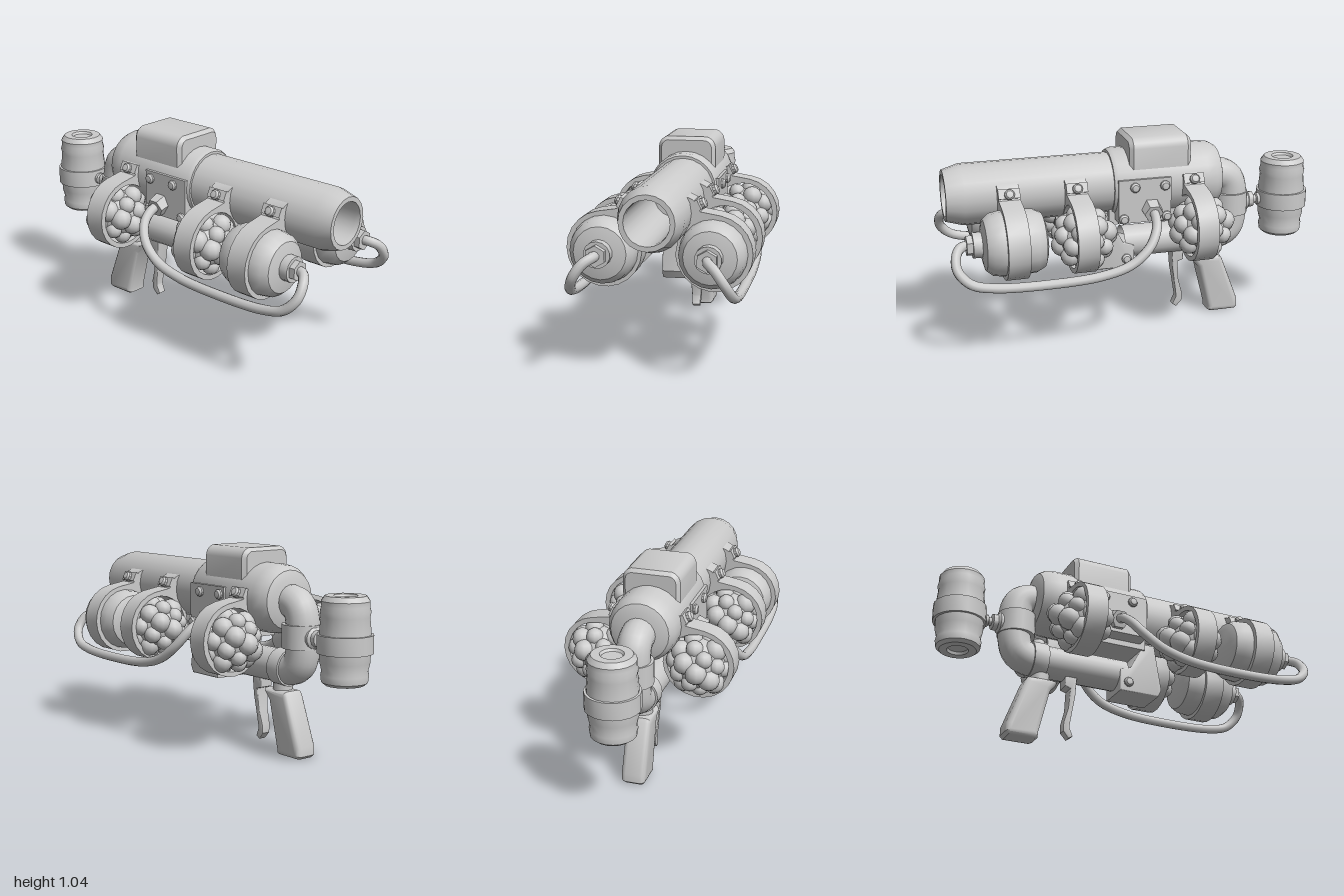
import * as THREE from 'three';
import { mergeGeometries, toCreasedNormals } from 'three/addons/utils/BufferGeometryUtils.js';

const V = (x, y, z) => new THREE.Vector3(x, y, z);

export function createModel() {
  const model = new THREE.Group();
  const mat = new THREE.MeshStandardMaterial({ color: 0xcccccc, side: THREE.DoubleSide });

  const add = (name, geo, x = 0, y = 0, z = 0) => {
    const mesh = new THREE.Mesh(geo, mat);
    mesh.name = name;
    mesh.position.set(x, y, z);
    model.add(mesh);
    return mesh;
  };
  const crease = geo => toCreasedNormals(geo, 0.6);
  // Turned part: [radius, height] pairs
  const lathe = (pts, seg) =>
    crease(new THREE.LatheGeometry(pts.map(p => new THREE.Vector2(p[0], p[1])), seg));
  const latheZ = (pts, seg) => lathe(pts, seg).rotateX(Math.PI / 2);
  // Side profile given as [z, y], extruded across x
  const profile = (pts, width, bevel) => {
    const shape = new THREE.Shape(pts.map(p => new THREE.Vector2(p[0], p[1])));
    const geo = new THREE.ExtrudeGeometry(shape, {
      depth: width - 2 * bevel, bevelSize: bevel, bevelThickness: bevel, bevelOffset: -bevel, bevelSegments: 3,
    });
    return crease(geo.translate(0, 0, bevel - width / 2).rotateY(-Math.PI / 2));
  };
  const tube = (pts, r, n, seg) =>
    new THREE.TubeGeometry(new THREE.CatmullRomCurve3(pts, false, 'centripetal'), n, r, seg);
  // Cylinder lying along z
  const rod = (r, len, seg) => crease(new THREE.CylinderGeometry(r, r, len, seg).rotateX(Math.PI / 2));
  // Round-headed bolt pointing along dir
  const bolt = (name, pos, dir) => {
    const r = 0.026;
    const m = add(name, lathe([[0, -0.02], [r, -0.02], [r, 0.007], [r * 0.7, 0.017], [0, 0.02]], 10));
    m.position.copy(pos);
    m.quaternion.setFromUnitVectors(V(0, 1, 0), dir.normalize());
  };

  // Barrel with open bore
  add('barrel', latheZ([[0, 0.05], [0.158, 0.05], [0.158, 0.89], [0.132, 0.98], [0.108, 0.98],
    [0.105, 0.95], [0.105, 0.35], [0, 0.35]], 20), 0, 0.785);
  // Main housing behind it
  add('housing', latheZ([[0, -0.48], [0.11, -0.48], [0.15, -0.465], [0.172, -0.43], [0.178, -0.38],
    [0.178, 0.105], [0.168, 0.125], [0, 0.125]], 24), 0, 0.788);
  add('housingUnderside', new THREE.BoxGeometry(0.2, 0.1, 0.4), 0, 0.63, -0.06);

  // Top box with rounded upper edges
  const top = new THREE.Shape();
  top.moveTo(-0.15, 0.85).lineTo(0.15, 0.85).lineTo(0.15, 0.99).quadraticCurveTo(0.145, 1.03, 0.105, 1.042)
    .lineTo(-0.105, 1.042).quadraticCurveTo(-0.145, 1.03, -0.15, 0.99);
  const topGeo = new THREE.ExtrudeGeometry(top, {
    depth: 0.29, bevelSize: 0.018, bevelThickness: 0.02, bevelOffset: -0.018, bevelSegments: 1, curveSegments: 5,
  });
  add('topBox', crease(topGeo), 0, 0, -0.27);

  // Rear pipe turning down and forward
  add('rearPipe', tube([V(0, 0.78, -0.42), V(0, 0.78, -0.5), V(0, 0.755, -0.542), V(0, 0.7, -0.563),
    V(0, 0.53, -0.563), V(0, 0.475, -0.542), V(0, 0.447, -0.49), V(0, 0.447, -0.4), V(0, 0.447, 0.05)],
  0.086, 60, 18));
  add('pipeCollar', new THREE.CylinderGeometry(0.1, 0.1, 0.12, 20), 0, 0.62, -0.557);
  add('lowerCollar', rod(0.096, 0.08, 20), 0, 0.447, -0.44);

  // Lower front block
  add('lowerBlock', profile([[0.24, 0.37], [0.22, 0.33], [0, 0.33], [0, 0.45], [0.06, 0.47],
    [0.14, 0.62], [0.2, 0.62]], 0.18, 0.006));
  for (const x of [-0.045, 0.045]) add('blockLug', new THREE.BoxGeometry(0.05, 0.05, 0.1), x, 0.61, 0.16);

  // Grip and trigger
  add('gripNeck', new THREE.CylinderGeometry(0.05, 0.05, 0.1, 14), 0, 0.35, -0.42);
  add('grip', profile([[-0.335, 0.33], [-0.345, 0.305], [-0.375, 0.27], [-0.435, 0.03], [-0.435, 0.008], [-0.45, 0],
    [-0.59, 0], [-0.607, 0.015], [-0.605, 0.06], [-0.51, 0.31], [-0.495, 0.33]], 0.125, 0.025));
  const trigger = profile([[-0.225, 0.38], [-0.29, 0.38], [-0.29, 0.32], [-0.26, 0.31], [-0.268, 0.2], [-0.29, 0.12],
    [-0.29, 0.075], [-0.26, 0.04], [-0.238, 0.055], [-0.258, 0.1], [-0.245, 0.19], [-0.232, 0.27]], 0.08, 0.005);
  // Narrow the trigger towards its tip
  const tp = trigger.attributes.position;
  for (let i = 0; i < tp.count; i++)
    tp.setX(i, tp.getX(i) * THREE.MathUtils.clamp(0.55 + (tp.getY(i) - 0.05) * 1.5, 0.45, 1));
  add('trigger', crease(trigger));

  // Rear canister standing upright on a short connector
  add('canister', lathe([[0, 0.435], [0.05, 0.435], [0.055, 0.42], [0.095, 0.42], [0.113, 0.435], [0.117, 0.47],
    [0.112, 0.49], [0.122, 0.53], [0.125, 0.6], [0.125, 0.68], [0.118, 0.75], [0.123, 0.775], [0.116, 0.8],
    [0.118, 0.825], [0.1, 0.85], [0.058, 0.85], [0.05, 0.838], [0, 0.838]], 20), 0, 0, -0.862);
  add('canisterBand', lathe([[0.11, 0.575], [0.137, 0.575], [0.137, 0.665], [0.11, 0.665]], 20), 0, 0, -0.863);
  add('connector', latheZ([[0, -0.75], [0.032, -0.75], [0.032, -0.715], [0.022, -0.71], [0.022, -0.695],
    [0.042, -0.69], [0.042, -0.665], [0.055, -0.655], [0.055, -0.62], [0, -0.62]], 14), 0, 0.618);

  // Knobbly cluster: evenly spread lobes around a core
  const lobes = [new THREE.SphereGeometry(0.135, 14, 10)];
  const count = 30;
  for (let i = 0; i < count; i++) {
    const h = 1 - (2 * i + 1) / count, a = i * 2.39996, q = Math.sqrt(1 - h * h);
    const lobe = new THREE.SphereGeometry(0.05 + 0.007 * Math.sin(i * 5.1), 10, 8);
    lobes.push(lobe.translate(q * Math.cos(a) * 0.122, h * 0.122, q * Math.sin(a) * 0.122));
  }
  const clusterGeo = mergeGeometries(lobes);

  // Everything that repeats on both sides
  for (const s of [1, -1]) {
    const cx = 0.262 * s, cy = 0.597;
    const tag = s > 0 ? 'left' : 'right';

    // Front tank, its hexagonal fitting and hose
    add(tag + 'Tank', latheZ([[0, 0.515], [0.1, 0.515], [0.14, 0.53], [0.16, 0.57], [0.164, 0.62], [0.164, 0.74],
      [0.155, 0.79], [0.128, 0.822], [0.07, 0.835], [0, 0.835]], 20), cx, cy);
    add(tag + 'TankCollar', rod(0.065, 0.06, 14), cx, cy + 0.005, 0.85);
    add(tag + 'TankNut', rod(0.052, 0.05, 6), cx, cy + 0.005, 0.885);
    const hose = [V(cx, 0.602, 0.88), V(0.27 * s, 0.602, 0.93), V(0.31 * s, 0.575, 0.965), V(0.355 * s, 0.51, 0.968),
      V(0.382 * s, 0.445, 0.91), V(0.388 * s, 0.415, 0.8), V(0.388 * s, 0.403, 0.5), V(0.388 * s, 0.418, 0.25),
      V(0.385 * s, 0.46, 0.1), V(0.365 * s, 0.535, 0), V(0.32 * s, 0.61, -0.05), V(0.26 * s, 0.655, -0.065),
      V(0.18 * s, 0.68, -0.065)];
    add(tag + 'Hose', tube(hose, 0.025, 90, 10));
    const nut = add(tag + 'HoseNut', crease(new THREE.CylinderGeometry(0.05, 0.056, 0.06, 6)), 0.2 * s, 0.672, -0.065);
    nut.rotation.z = -s * (Math.PI / 2 + 0.3);

    // Clusters
    for (const z of [0.315, -0.31]) add(tag + 'Cluster', clusterGeo, cx, 0.59, z);

    // Bands with an arm reaching the barrel
    for (const z of [0.675, 0.33, -0.29]) {
      const shape = new THREE.Shape();
      shape.moveTo(s * 0.12, 0.87).lineTo(s * 0.165, 0.85).lineTo(s * 0.2, 0.795);
      for (let i = 0; i <= 16; i++) {
        const a = 1.4 - i * 0.28;
        shape.lineTo(s * (0.265 + 0.185 * Math.cos(a)), cy + 0.185 * Math.sin(a));
      }
      shape.lineTo(s * 0.1, 0.69);
      shape.holes.push(new THREE.Path().absarc(cx, cy, 0.16, 0, Math.PI * 2, true));
      const band = new THREE.ExtrudeGeometry(shape, { depth: 0.11, bevelEnabled: false, curveSegments: 12 });
      add(tag + 'Band', crease(band), 0, 0, z - 0.055);
      const tab = add(tag + 'BandTab', new THREE.BoxGeometry(0.03, 0.05, 0.11), s * 0.18, 0.822, z);
      tab.rotation.z = s * 0.45;
      bolt(tag + 'BandBolt', V(s * 0.203, 0.826, z), V(s * 0.9, 0.43, 0));
    }

    // Side plate on the housing, with bolts
    add(tag + 'SidePlate', new THREE.BoxGeometry(0.1, 0.23, 0.28), s * 0.135, 0.725, -0.03);
    for (const [y, z] of [[0.8, 0.025], [0.8, -0.135], [0.635, 0.085], [0.635, -0.145]])
      bolt(tag + 'PlateBolt', V(s * 0.188, y, z), V(s, 0, 0));
    bolt(tag + 'BlockBolt', V(s * 0.092, 0.38, 0.045), V(s, 0, 0));
  }
  return model;
}
